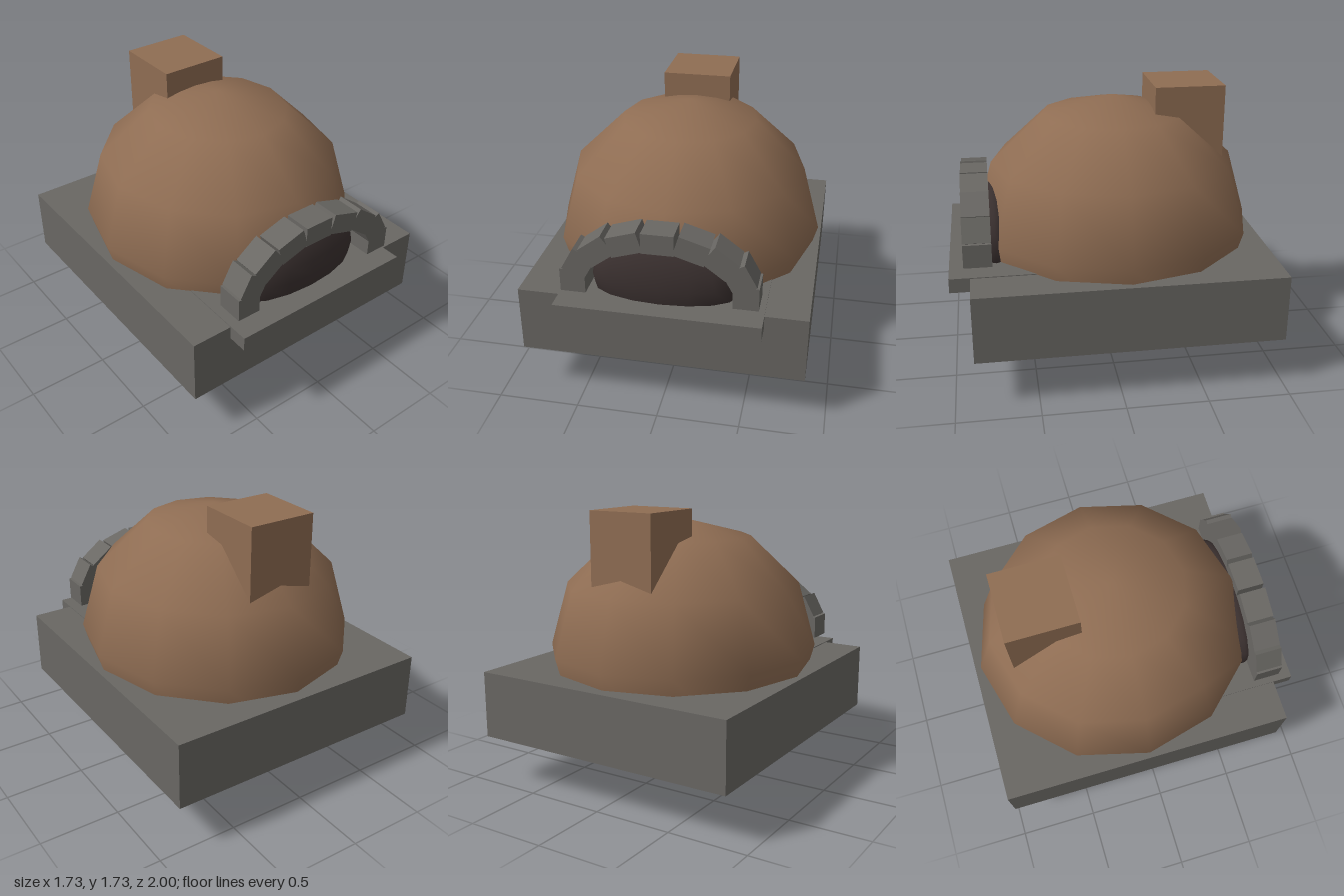
import * as THREE from 'three';

export function createModel() {
  const model = new THREE.Group();
  model.name = 'domedOven';

  const clay = new THREE.MeshStandardMaterial({ name: 'clay', color: 0x8f6d53 });
  const stone = new THREE.MeshStandardMaterial({ name: 'stone', color: 0x696763 });
  const soot = new THREE.MeshStandardMaterial({ name: 'soot', color: 0x3a302f });

  function add(name, geometry, material, x, y, z, parent = model) {
    const mesh = new THREE.Mesh(geometry, material);
    mesh.name = name;
    mesh.position.set(x, y, z);
    parent.add(mesh);
    return mesh;
  }

  // Box given by its lower and upper corners
  function block(name, material, [x0, y0, z0], [x1, y1, z1]) {
    const geometry = new THREE.BoxGeometry(x1 - x0, y1 - y0, z1 - z0);
    return add(name, geometry, material, (x0 + x1) / 2, (y0 + y1) / 2, (z0 + z1) / 2);
  }

  // Plinth and the hearth slab at the mouth
  block('base', stone, [-0.865, 0.305, -1], [0.865, 0.725, 0.875]);
  block('hearthSlab', stone, [-0.61, 0.64, 0.48], [0.61, 0.73, 1]);

  // Smooth-shaded coarse dome, running through the plinth
  add('dome', new THREE.SphereGeometry(1, 12, 6).scale(0.85, 0.822, 0.895), clay, 0, 0.826, -0.06);

  // Square chimney
  block('chimney', clay, [-0.215, 1.2, -0.73], [0.215, 1.73, -0.295]);

  // Sooty mouth bulging slightly from the dome
  add('mouth', new THREE.SphereGeometry(1, 16, 10).scale(0.45, 0.31, 0.17), soot, 0, 0.82, 0.715);

  // Nine arch stones along a half ellipse
  const arch = new THREE.Group();
  arch.name = 'arch';
  model.add(arch);
  const count = 9;
  for (let i = 0; i < count; i++) {
    const a = (Math.PI * i) / (count - 1);
    const side = Math.abs(Math.cos(a)) ** 3;
    const length = 0.19 - 0.045 * side;
    const depth = 0.125 + 0.025 * side;
    const s = add('archStone', new THREE.BoxGeometry(length, depth, 0.17), stone,
      0.505 * Math.cos(a), 0.852 + 0.29 * Math.sin(a), 0.825, arch);
    s.rotation.z = Math.atan2(Math.sin(a), 0.75 * Math.cos(a)) - Math.PI / 2;
    // Tilt follows the flattened curve of the arch
    s.rotation.z = Math.atan2(Math.sin(a), Math.cos(a) * 0.75) - Math.PI / 2;
  }

  return model;
}
